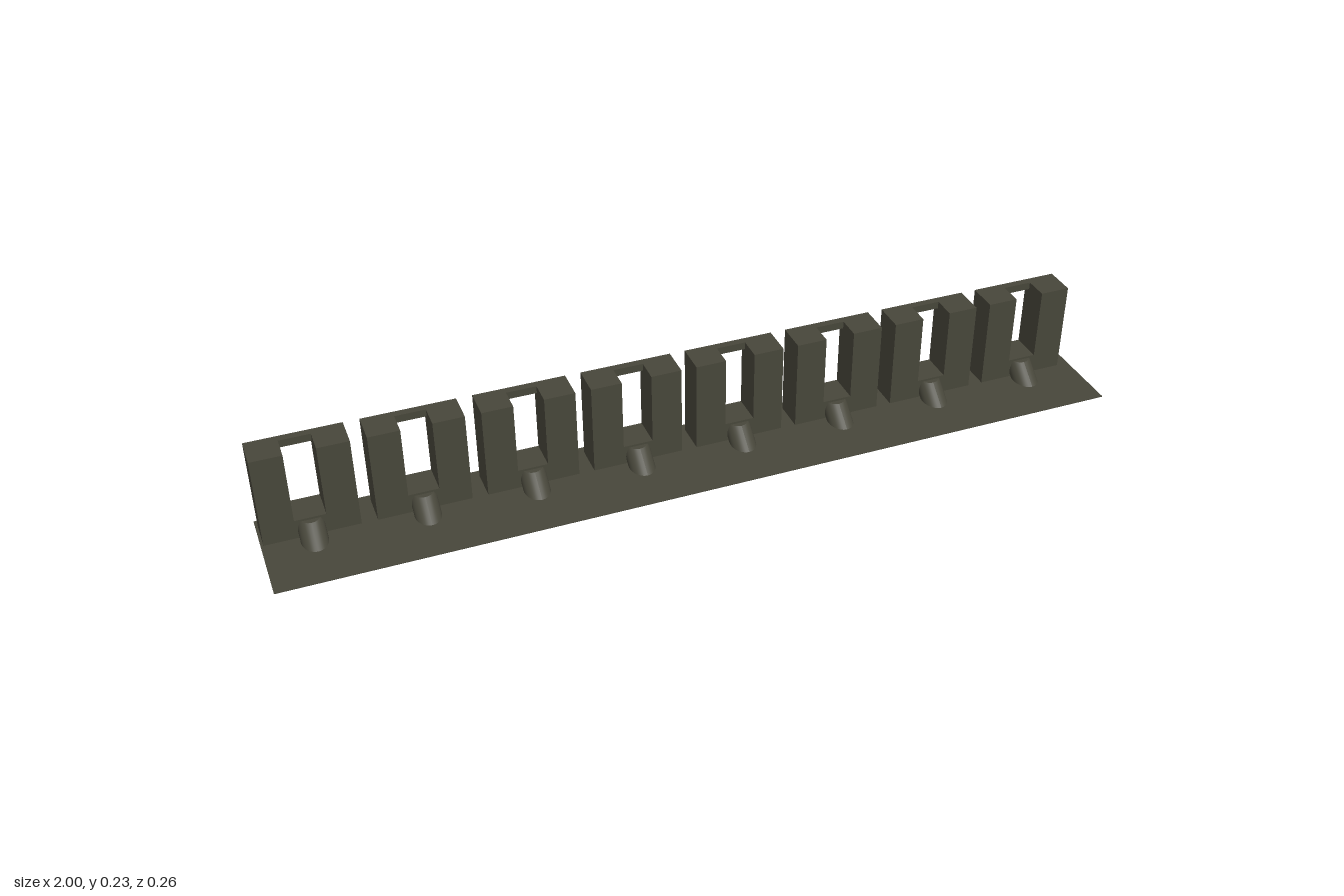
import * as THREE from 'three';

const COUNT = 8, PITCH = 0.25, FIRST_X = -0.887;
const BASE_Y = 0.01, TOP_Y = 0.233;      // block floor and top
const WIDTH = 0.214, SLOT = 0.07;        // block and slot widths
const FRONT = 0, BACK = -0.075, WALL = 0.018;
const SILL_Y = 0.058, LINTEL_Y = 0.215;

const olive = new THREE.MeshStandardMaterial({ color: 0x47463a });
olive.name = 'dark olive';

function box(name, x0, x1, y0, y1, z0, z1) {
  const mesh = new THREE.Mesh(new THREE.BoxGeometry(x1 - x0, y1 - y0, z1 - z0), olive);
  mesh.position.set((x0 + x1) / 2, (y0 + y1) / 2, (z0 + z1) / 2);
  mesh.name = name;
  return mesh;
}

// Slanted oval peg: a cylinder sheared backwards, cut level at both ends
function pegGeometry() {
  const h = 0.053;
  const geo = new THREE.CylinderGeometry(0.03, 0.03, h, 24);
  geo.scale(1, 1, 1.37);
  geo.translate(0, h / 2, 0);
  const p = geo.attributes.position;
  for (let i = 0; i < p.count; i++) p.setZ(i, p.getZ(i) - p.getY(i) * 1.17);
  geo.computeVertexNormals();
  return geo;
}

export function createModel() {
  const model = new THREE.Group();
  model.name = 'slottedRail';

  // Thin base plate
  model.add(box('basePlate', -1, 1, 0.009, 0.011, -0.129, 0.129));

  const peg = pegGeometry();
  for (let i = 0; i < COUNT; i++) {
    const unit = new THREE.Group();
    unit.name = 'slottedBlock' + (i + 1);
    unit.position.set(FIRST_X + PITCH * i, 0, -0.036 + 0.0008 * i);

    // Two pillars either side of the slot
    const w = WIDTH / 2, s = SLOT / 2;
    unit.add(box('rightPillar', -w, -s, BASE_Y, TOP_Y, BACK, FRONT));
    unit.add(box('leftPillar', s, w, BASE_Y, TOP_Y, BACK, FRONT));

    // Slot floor, and the bar over the rear window
    unit.add(box('slotFloor', -s, s, BASE_Y, SILL_Y, BACK, FRONT));
    unit.add(box('rearLintel', -s, s, LINTEL_Y, TOP_Y, BACK, BACK + WALL));

    // Peg leaning into the slot from below the plate
    const mesh = new THREE.Mesh(peg, olive);
    mesh.name = 'slantedPeg';
    mesh.position.z = 0.034;
    unit.add(mesh);

    model.add(unit);
  }
  return model;
}
